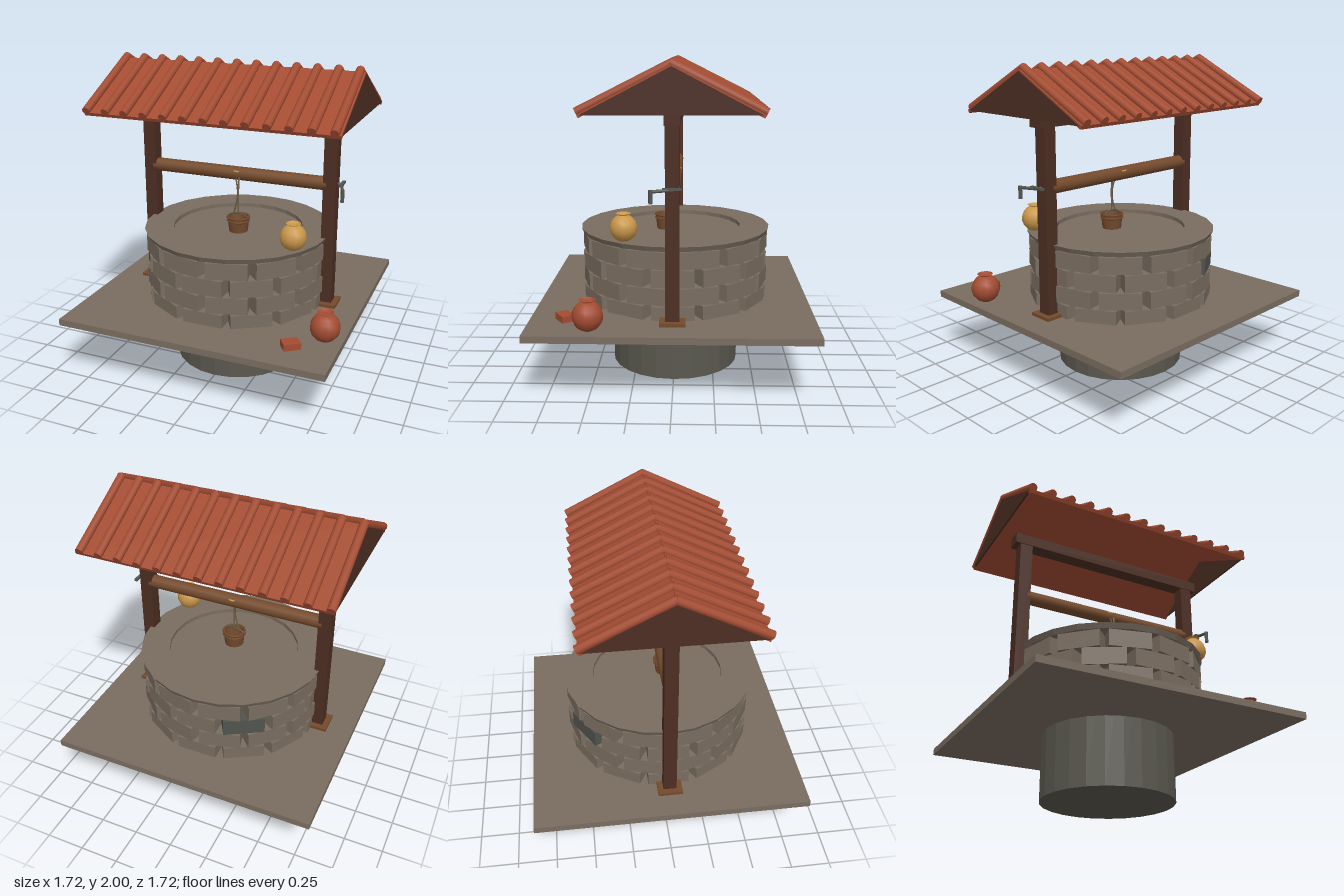
import * as THREE from 'three';
import { toCreasedNormals } from 'three/addons/utils/BufferGeometryUtils.js';

const paint = (name, color, extra = {}) =>
  Object.assign(new THREE.MeshStandardMaterial({ color, ...extra }), { name });

export function createModel() {
  const model = new THREE.Group();
  model.name = 'waterWell';

  const stone = paint('stone', 0x7a6d60);
  const slate = paint('slate', 0x51534f);
  const shaftStone = paint('shaftStone', 0x5a584e);
  const darkWood = paint('darkWood', 0x4c2e23, { side: THREE.DoubleSide });
  const wood = paint('wood', 0x744a2c, { side: THREE.DoubleSide });
  const terracotta = paint('terracotta', 0xa34c32);
  const ochre = paint('ochreClay', 0xc9974a);
  const metal = paint('metal', 0x55564f);
  const rope = paint('rope', 0x6e5f4a);

  const add = (name, geometry, material, x = 0, y = 0, z = 0, parent = model) => {
    const mesh = new THREE.Mesh(geometry, material);
    mesh.name = name;
    mesh.position.set(x, y, z);
    parent.add(mesh);
    return mesh;
  };
  const group = (name) => {
    const g = new THREE.Group();
    g.name = name;
    model.add(g);
    return g;
  };
  const box = (w, h, d) => new THREE.BoxGeometry(w, h, d);
  const lathe = (points, sides, crease) => toCreasedNormals(
    new THREE.LatheGeometry(points.map(([r, y]) => new THREE.Vector2(r, y)), sides), crease);
  const tube = (points, radius, n = 12) => new THREE.TubeGeometry(
    new THREE.CatmullRomCurve3(points.map((p) => new THREE.Vector3(...p))), n, radius, 6);
  // Cylinder running between two points
  const rod = (name, a, b, radius, sides, material, parent) => {
    const from = new THREE.Vector3(...a), to = new THREE.Vector3(...b);
    const dir = to.clone().sub(from);
    const mesh = add(name, new THREE.CylinderGeometry(radius, radius, dir.length(), sides), material, 0, 0, 0, parent);
    mesh.position.copy(from).add(to).multiplyScalar(0.5);
    mesh.quaternion.setFromUnitVectors(new THREE.Vector3(0, 1, 0), dir.normalize());
    return mesh;
  };

  // Ground slab and the shaft passing through it
  add('groundSlab', box(1.72, 0.042, 1.72), stone, 0, 0.434, 0);
  add('shaft', toCreasedNormals(new THREE.CylinderGeometry(0.415, 0.415, 0.883, 24), 0.1), shaftStone, 0, 0.4415, 0);

  // Four staggered courses of wall blocks
  const wall = group('stoneWall');
  const block = box(0.26, 0.106, 0.16);
  for (let row = 0; row < 4; row++) {
    for (let k = 0; k < 12; k++) {
      const angle = (k + (row % 2 ? 0.5 : 0)) * Math.PI / 6;
      const material = row === 2 && k === 7 ? slate : stone;
      const mesh = add('wallBlock', block, material,
        Math.sin(angle) * 0.51, 0.487 + row * 0.1125, Math.cos(angle) * 0.51, wall);
      mesh.rotation.y = angle;
    }
  }

  // Coping ring and the recessed lid inside it
  add('copingRing', lathe([[0.427, 0.883], [0.6, 0.883], [0.615, 0.915], [0.427, 0.915], [0.427, 0.883]], 24, 0.1), stone);
  add('innerLid', new THREE.CylinderGeometry(0.43, 0.43, 0.006, 24), stone, 0, 0.886, 0);

  // Posts, feet and top beam
  for (const side of [-1, 1]) {
    add('post', box(0.083, 1.19, 0.083), darkWood, side * 0.62, 1.05, 0);
    add('postFoot', box(0.155, 0.02, 0.155), wood, side * 0.62, 0.465, 0);
  }
  add('topBeam', box(1.394, 0.07, 0.094), darkWood, 0, 1.665, 0);

  // Roof panels with rows of round tiles
  const roof = group('roof');
  const pitch = Math.atan2(0.265, 0.51);
  const slope = Math.hypot(0.51, 0.265);
  for (const side of [-1, 1]) {
    const panel = add('roofPanel', box(1.6, 0.022, slope), terracotta, 0, 1.823, side * 0.253, roof);
    panel.rotation.x = side * pitch;
    for (let i = 0; i < 13; i++) {
      const x = -0.783 + i * 0.129;
      rod('roofTile', [x, 1.976, side * -0.008], [x, 1.711, side * 0.52], 0.026, 10, terracotta, roof);
    }
    // Gable triangle closing each end
    const gable = new THREE.Shape([
      new THREE.Vector2(-0.5, 1.697), new THREE.Vector2(0.5, 1.697), new THREE.Vector2(0, 1.957)]);
    const end = add('gable', new THREE.ExtrudeGeometry(gable, { depth: 0.012, bevelEnabled: false }),
      darkWood, side * 0.796 - 0.006, 0, 0, roof);
    end.rotation.y = Math.PI / 2;
  }

  // Windlass log with a rope loop
  rod('windlassLog', [-0.6, 1.265, 0], [0.6, 1.265, 0], 0.044, 16, wood);
  const loop = add('ropeLoop', new THREE.TorusGeometry(0.038, 0.006, 6, 16), ochre, 0, 1.285, 0);
  loop.rotation.x = Math.PI / 2;

  // Crank handle
  const crank = group('crank');
  rod('crankAxle', [0.64, 1.27, 0], [0.7, 1.27, 0], 0.009, 8, metal, crank);
  add('crankHub', box(0.02, 0.014, 0.11), metal, 0.69, 1.273, 0, crank);
  rod('crankArm', [0.685, 1.268, 0], [0.725, 1.265, 0.125], 0.01, 8, metal, crank);
  rod('crankGrip', [0.724, 1.275, 0.12], [0.724, 1.196, 0.12], 0.012, 8, metal, crank);

  // Bucket hanging on its rope
  const bucket = group('bucket');
  bucket.position.set(0.023, 0, 0.055);
  add('bucketBody', lathe([[0, 0.892], [0.062, 0.892], [0.073, 0.99], [0.064, 0.99], [0.054, 0.91], [0, 0.91]], 14, 0.6),
    wood, 0, 0, 0, bucket);
  for (const [y, r] of [[0.965, 0.072], [0.988, 0.073]]) {
    const hoop = add('bucketHoop', new THREE.TorusGeometry(r, 0.006, 6, 14), wood, 0, y, 0, bucket);
    hoop.rotation.x = Math.PI / 2;
  }
  add('bucketHandle', tube([[-0.07, 0.985, 0], [-0.04, 1.005, 0], [0, 1.012, 0], [0.04, 1.005, 0], [0.07, 0.985, 0]], 0.005),
    metal, 0, 0, 0, bucket);
  add('bucketRope', tube([[0, 1.25, -0.012], [0, 1.18, 0], [0, 1.01, 0]], 0.006), rope, 0, 0, 0, bucket);
  add('looseRope', tube([[-0.022, 1.24, -0.015], [-0.005, 1.15, 0], [-0.014, 1.07, 0.006], [-0.035, 1, 0]], 0.005),
    rope, 0, 0, 0, bucket);

  // Clay jars: round body, narrow neck and flared lip
  const jar = (name, radius, material, x, y, z) => {
    const profile = [];
    for (let i = 0; i <= 8; i++) {
      const a = -Math.PI / 2 + i * 0.345;
      profile.push([Math.max(0, Math.cos(a)) * radius, (1 + Math.sin(a)) * radius]);
    }
    profile.push([radius * 0.38, radius * 1.98], [radius * 0.55, radius * 2.06],
      [radius * 0.5, radius * 2.08], [radius * 0.33, radius * 1.95], [0, radius * 1.9]);
    add(name, lathe(profile, 12, 0.8), material, x, y, z);
  };
  jar('ochreJar', 0.084, ochre, 0.478, 0.915, 0.297);
  jar('redJar', 0.092, terracotta, 0.75, 0.45, 0.487);

  // Loose brick on the slab
  const brick = add('looseBrick', box(0.105, 0.042, 0.08), terracotta, 0.59, 0.475, 0.645);
  brick.rotation.y = 0.6;

  return model;
}
